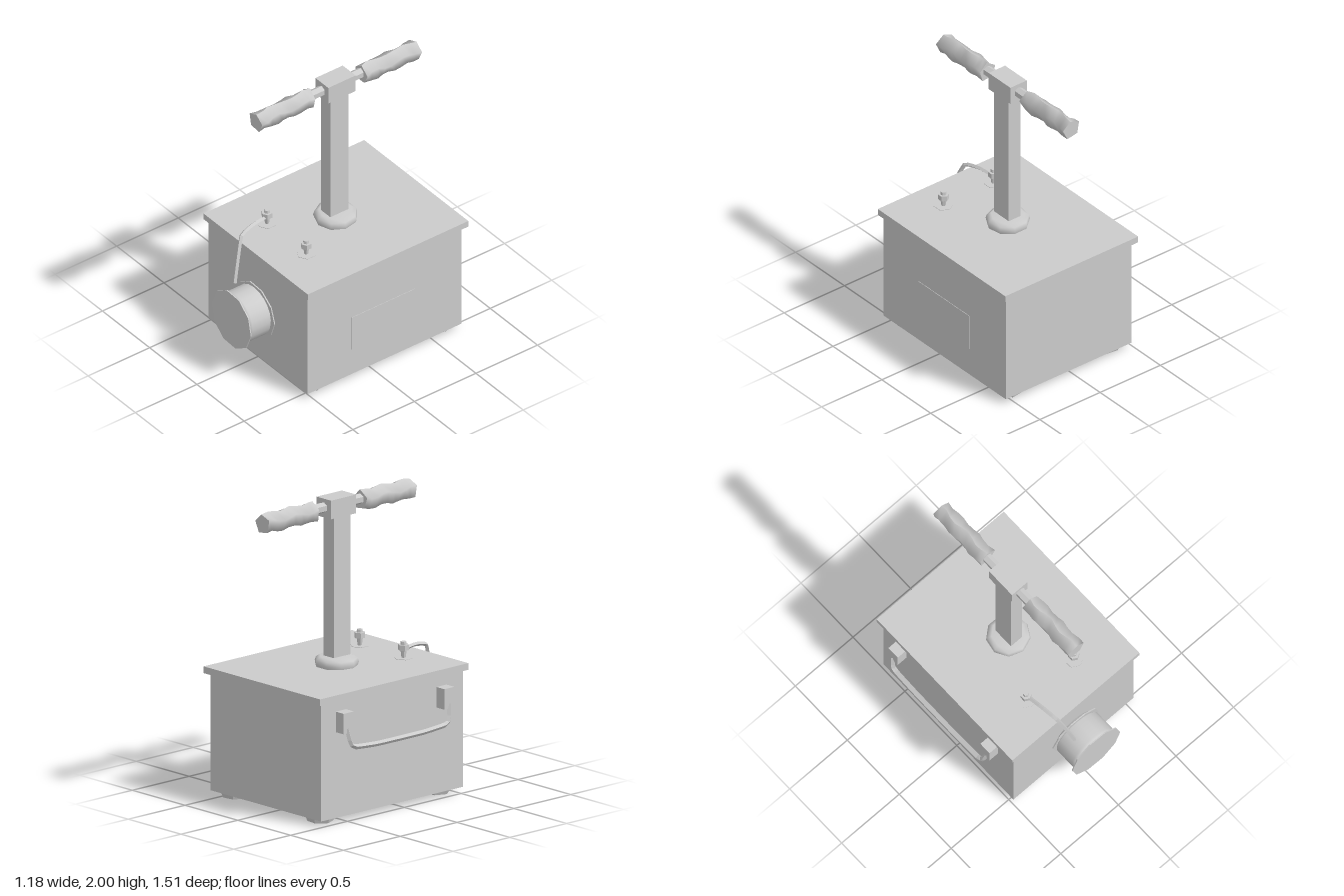
import * as THREE from 'three';

const flat = new THREE.MeshStandardMaterial({ color: 0xcccccc, flatShading: true, side: THREE.DoubleSide });
const smooth = new THREE.MeshStandardMaterial({ color: 0xcccccc, side: THREE.DoubleSide });
const AXIS = 0.036; // the plunger and drum sit slightly off x = 0

export function createModel() {
  const model = new THREE.Group();
  model.name = 'plungerBox';

  const add = (name, geometry, x = 0, y = 0, z = 0, material = flat, parent = model) => {
    const mesh = new THREE.Mesh(geometry, material);
    mesh.name = name;
    mesh.position.set(x, y, z);
    parent.add(mesh);
    return mesh;
  };
  // box given by its minimum and maximum on each axis
  const box = (name, [x0, x1], [y0, y1], [z0, z1]) =>
    add(name, new THREE.BoxGeometry(x1 - x0, y1 - y0, z1 - z0), (x0 + x1) / 2, (y0 + y1) / 2, (z0 + z1) / 2);
  const lathe = (points, sides) => new THREE.LatheGeometry(points.map(([r, y]) => new THREE.Vector2(r, y)), sides);
  // square-section strip along a path
  const strip = (name, points, radius, steps) => {
    const curve = new THREE.CatmullRomCurve3(points.map((p) => new THREE.Vector3(...p)), false, 'catmullrom', 0.2);
    return add(name, new THREE.TubeGeometry(curve, steps, radius, 4));
  };

  // case and lid
  box('case', [-0.487, 0.557], [0.037, 0.82], [-0.722, 0.53]);
  box('lid', [-0.515, 0.588], [0.82, 0.865], [-0.755, 0.55]);

  // feet
  for (const x of [-0.365, 0.44]) {
    for (const z of [-0.612, 0.412]) {
      const foot = add('foot', new THREE.CylinderGeometry(0.1, 0.085, 0.04, 6), x, 0.02, z);
      foot.rotation.y = x * z > 0 ? 0.4 : 0.65;
    }
  }

  // side plate and the two stacked plates on the lid
  box('sidePlate', [0.557, 0.56], [0.235, 0.49], [-0.35, 0.17]);
  const lidPlate = (name, w, d, y) =>
    add(name, new THREE.PlaneGeometry(w, d).rotateX(-Math.PI / 2), 0.034, y, -0.505);
  lidPlate('lidPlateOuter', 0.296, 0.204, 0.885);
  lidPlate('lidPlateInner', 0.208, 0.158, 0.918);

  // plunger collar, shaft, head and crossbar
  add('collar', lathe([[0.138, 0.86], [0.146, 0.885], [0.138, 0.912], [0.11, 0.93], [0, 0.932]], 9), AXIS, 0, -0.1, smooth);
  box('shaft', [-0.013, 0.084], [0.9, 1.88], [-0.168, -0.02]);
  box('head', [-0.032, 0.104], [1.87, 1.995], [-0.21, 0.012]);
  add('crossbar', new THREE.CylinderGeometry(0.035, 0.035, 0.5, 6).rotateX(Math.PI / 2), AXIS, 1.936, -0.1);

  // lumpy five-sided grips
  const grip = (z0, z1, seed) => {
    const length = z1 - z0;
    const g = new THREE.CylinderGeometry(0.07, 0.07, length, 5, 9);
    const p = g.attributes.position;
    for (let i = 0; i < p.count; i++) {
      const x = p.getX(i), y = p.getY(i), z = p.getZ(i);
      if (Math.hypot(x, z) < 0.01) continue;
      const a = Math.round(Math.atan2(x, z) / (Math.PI * 0.4));
      const s = 0.97 + 0.09 * Math.sin(y * 38 + a * 2.1 + seed);
      const twist = 0.18 * Math.sin(y * 27 + seed);
      const c = Math.cos(twist), n = Math.sin(twist);
      p.setXYZ(i, (x * c + z * n) * s, y, (z * c - x * n) * s);
    }
    g.computeVertexNormals();
    g.rotateX(-Math.PI / 2);
    add('grip', g, AXIS, 1.926, (z0 + z1) / 2, smooth);
  };
  grip(0.11, 0.55, 0.5);
  grip(-0.75, -0.305, 2.3);

  // cable drum on the front
  const drum = new THREE.Group();
  drum.name = 'cableDrum';
  drum.position.set(AXIS, 0.428, 0);
  model.add(drum);
  add('drumBody', lathe([[0.15, 0.53], [0.165, 0.555], [0.178, 0.565], [0.178, 0.71], [0.165, 0.722], [0.15, 0.745]], 20)
    .rotateX(Math.PI / 2), 0, 0, 0, smooth, drum);
  for (const [z, r, tilt] of [[0.547, 0.198, 0.05], [0.745, 0.208, -0.02]]) {
    const flange = add('drumFlange', new THREE.CylinderGeometry(r, r, 0.008, 10).rotateX(Math.PI / 2), 0, 0, z, flat, drum);
    flange.rotation.set(tilt, 0, 0.25);
  }

  // terminals on the lid
  for (const x of [-0.17, 0.245]) {
    const terminal = new THREE.Group();
    terminal.name = 'terminal';
    terminal.position.set(x, 0, 0.3);
    model.add(terminal);
    const part = (name, r0, r1, y0, y1) =>
      add(name, new THREE.CylinderGeometry(r1, r0, y1 - y0, 6), 0, (y0 + y1) / 2, 0, flat, terminal);
    part('washer', 0.064, 0.064, 0.878, 0.881);
    part('stem', 0.012, 0.022, 0.865, 0.935);
    part('nut', 0.037, 0.037, 0.932, 0.968);
    part('bolt', 0.021, 0.019, 0.968, 0.988);
  }

  // wire from the right terminal down to the drum
  strip('wire', [[-0.165, 0.935, 0.3], [-0.148, 0.942, 0.42], [-0.126, 0.915, 0.54], [-0.085, 0.75, 0.605], [-0.06, 0.62, 0.645]], 0.014, 16);

  // carrying handle on the right side
  box('handleBracket', [-0.562, -0.485], [0.61, 0.747], [-0.59, -0.5]);
  box('handleBracket', [-0.562, -0.485], [0.61, 0.747], [0.295, 0.383]);
  const half = [[-0.552, 0.64, 0.45], [-0.568, 0.56, 0.437], [-0.575, 0.515, 0.41], [-0.577, 0.5, 0.2]];
  const ends = (side) => half.map(([x, y, z]) => [x, y, -0.105 + side * z]);
  strip('handleBar', [...ends(-1), ...ends(1).reverse()], 0.017, 28);

  return model;
}
